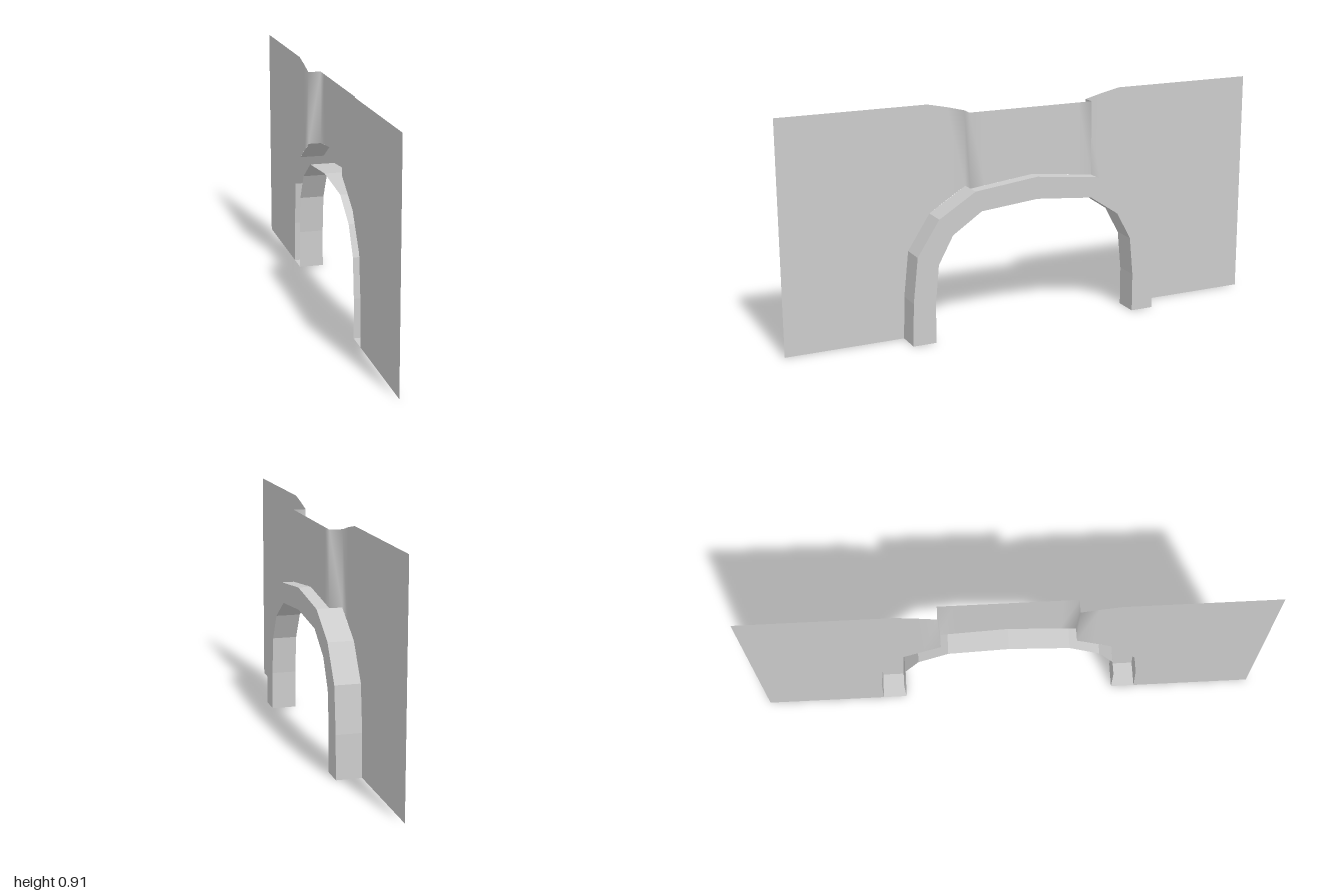
import * as THREE from 'three';

const BACK = -0.05, MID = 0, FRONT = 0.05;
const material = new THREE.MeshStandardMaterial({ color: 0xcccccc, side: THREE.DoubleSide });

// Half profiles of the arch as [z, y], from foot to crown
const OUTER = [[0.525, 0], [0.52, 0.17], [0.5, 0.35], [0.41, 0.488], [0.26, 0.58], [0, 0.61]];
const INNER = [[0.43, 0], [0.43, 0.155], [0.415, 0.31], [0.355, 0.42], [0.235, 0.5], [0, 0.522]];

// Mirror a half list across z = 0; the last entry is the crown
function mirrored(half) {
  const other = half.slice(0, -1).reverse().map(([z, ...rest]) => [-z, ...rest]);
  return [...half, ...other];
}

// Sheet between two equally long rows of points
function strip(name, rowA, rowB, smooth = false) {
  const positions = [], index = [];
  rowA.forEach((p, i) => {
    positions.push(...p, ...rowB[i]);
    if (i > 0) {
      const k = 2 * (i - 1);
      index.push(k, k + 2, k + 1, k + 1, k + 2, k + 3);
    }
  });
  let geometry = new THREE.BufferGeometry();
  geometry.setAttribute('position', new THREE.Float32BufferAttribute(positions, 3));
  geometry.setIndex(index);
  if (!smooth) geometry = geometry.toNonIndexed();
  geometry.computeVertexNormals();
  const mesh = new THREE.Mesh(geometry, material);
  mesh.name = name;
  return mesh;
}

export function createModel() {
  const group = new THREE.Group();
  group.name = 'archPanel';

  // Wall panel with a raised middle: columns of [z, x, bottom, top]
  const columns = mirrored([
    [1, BACK, 0, 0.91],
    [0.525, BACK, 0, 0.91],
    [0.52, BACK, 0.17, 0.91],
    [0.5, BACK, 0.35, 0.91],
    [0.41, BACK, 0.488, 0.91],
    [0.33, BACK, 0.538, 0.893],
    [0.26, BACK, 0.58, 0.875],
    [0.26, MID, 0.58, 0.875],
    [0.2, MID, 0.587, 0.875],
    [0, MID, 0.61, 0.875],
  ]);
  group.add(strip('wallPanel',
    columns.map(([z, x, bottom]) => [x, bottom, z]),
    columns.map(([z, x, , top]) => [x, top, z]), true));

  // Arch: front face and the inner wall running back to the panel plane
  const outer = mirrored(OUTER), inner = mirrored(INNER);
  const at = (profile, x) => profile.map(([z, y]) => [x, y, z]);
  group.add(strip('archFace', at(inner, FRONT), at(outer, FRONT)));
  group.add(strip('archInnerWall', at(inner, BACK), at(inner, FRONT)));

  // Outer wall: deep along the sides, shallow in front of the raised middle
  const side = OUTER.slice(0, 5);
  const otherSide = side.map(([z, y]) => [-z, y]).reverse();
  const crown = outer.slice(4, 7);
  group.add(strip('archOuterWallLeft', at(side, FRONT), at(side, BACK)));
  group.add(strip('archOuterWallRight', at(otherSide, FRONT), at(otherSide, BACK)));
  group.add(strip('archCrownLedge', at(crown, FRONT), at(crown, MID)));

  // Closed feet of the arch
  for (const s of [1, -1]) {
    const ends = [[s * OUTER[0][0], 0], [s * INNER[0][0], 0]];
    if (s < 0) ends.reverse();
    group.add(strip('archFoot', at(ends, BACK), at(ends, FRONT)));
  }
  return group;
}
